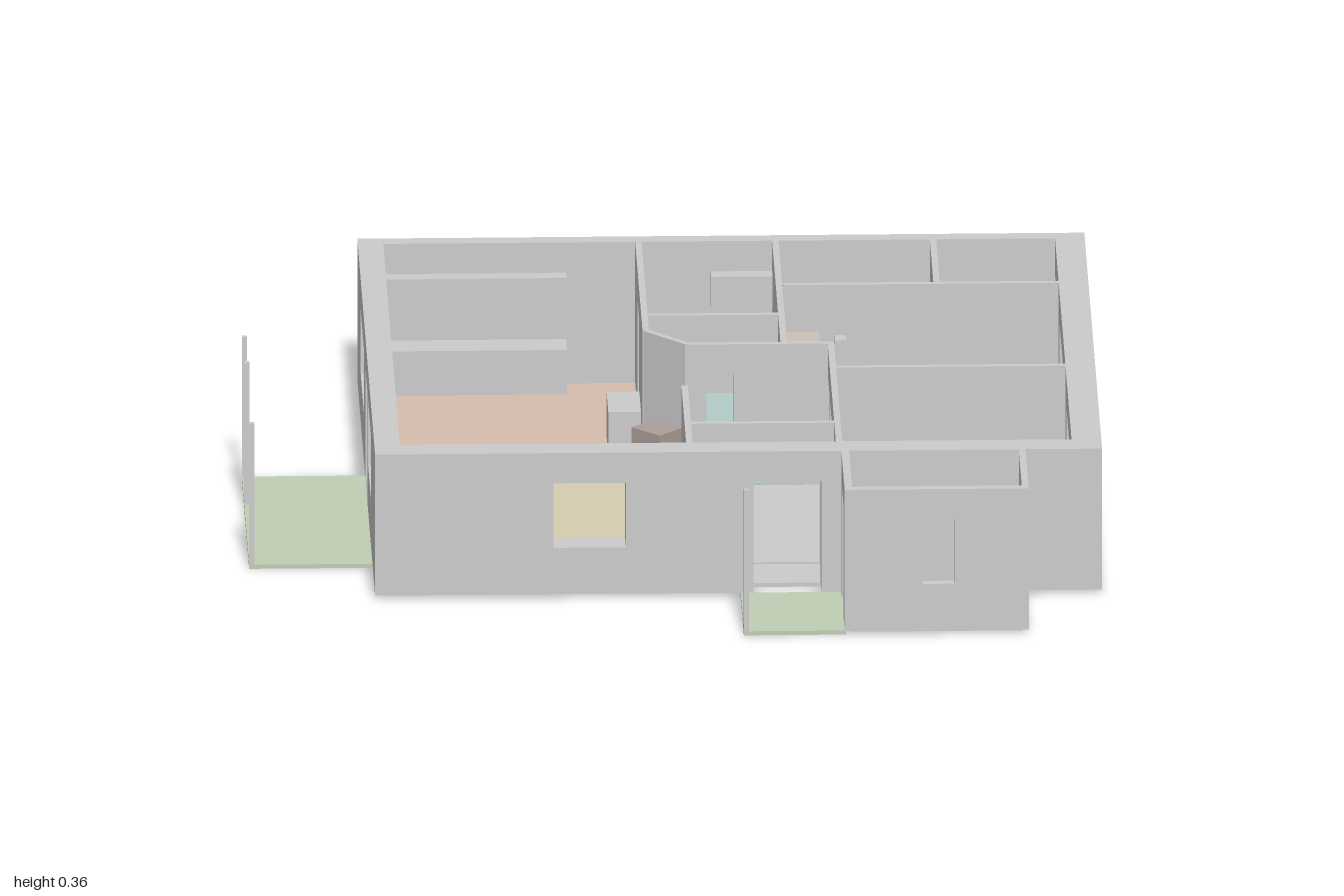
import * as THREE from 'three';

const BASE = 0.01, TOP = 0.36, SILL = 0.125, HEAD = 0.285;

export function createModel() {
  const model = new THREE.Group();
  model.name = 'house';

  const materials = {};
  const mat = (color) => (materials[color] ??= new THREE.MeshStandardMaterial({ color, flatShading: true }));
  const GREY = 0xcccccc, BROWN = 0xc3b096, WOOD = 0xccc2b7, TEAL = 0xb2cbc8, BLUE = 0xb8c5d0, GREEN = 0xbfceb4;

  const add = (name, geometry, color = GREY) => {
    const mesh = new THREE.Mesh(geometry, mat(color));
    mesh.name = name;
    model.add(mesh);
    return mesh;
  };

  // Box given by its limits in x, z and y
  const block = (name, x0, x1, z0, z1, y0, y1, color) => {
    const mesh = add(name, new THREE.BoxGeometry(x1 - x0, y1 - y0, z1 - z0), color);
    mesh.position.set((x0 + x1) / 2, (y0 + y1) / 2, (z0 + z1) / 2);
    return mesh;
  };

  // Slab or cabinet with a polygonal plan of [x, z] corners
  const slab = (name, corners, y0, y1, color) => {
    const shape = new THREE.Shape(corners.map(([x, z]) => new THREE.Vector2(x, -z)));
    const g = new THREE.ExtrudeGeometry(shape, { depth: y1 - y0, bevelEnabled: false });
    g.rotateX(-Math.PI / 2).translate(0, y0, 0);
    return add(name, g, color);
  };

  // Wall along a centre line; doors and windows are [from, to] in x or z
  const wall = (name, x0, z0, x1, z1, thick, doors = [], windows = []) => {
    const length = Math.hypot(x1 - x0, z1 - z0);
    const start = Math.abs(x1 - x0) > Math.abs(z1 - z0) ? x0 : z0;
    const shape = new THREE.Shape();
    shape.moveTo(0, BASE);
    for (const [a, b] of doors) {
      shape.lineTo(a - start, BASE);
      shape.lineTo(a - start, HEAD);
      shape.lineTo(b - start, HEAD);
      shape.lineTo(b - start, BASE);
    }
    shape.lineTo(length, BASE);
    shape.lineTo(length, TOP);
    shape.lineTo(0, TOP);
    for (const [a, b] of windows) {
      const hole = new THREE.Path();
      hole.moveTo(a - start, SILL);
      hole.lineTo(a - start, HEAD);
      hole.lineTo(b - start, HEAD);
      hole.lineTo(b - start, SILL);
      shape.holes.push(hole);
    }
    const g = new THREE.ExtrudeGeometry(shape, { depth: thick, bevelEnabled: false });
    g.translate(0, 0, -thick / 2).rotateY(-Math.atan2(z1 - z0, x1 - x0)).translate(x0, 0, z0);
    return add(name, g);
  };

  // Room floors
  const floor = (name, x0, x1, z0, z1, color) => block(name, x0, x1, z0, z1, 0, BASE, color);
  floor('kitchenFloor', -0.65, -0.055, -0.9, -0.36, 0xd6bcae);
  slab('livingFloor', [[-0.65, -0.36], [-0.055, -0.36], [-0.055, -0.25], [0.04, -0.14], [0.04, 0.16], [0.022, 0.16],
    [0.022, 0.58], [-0.65, 0.58]], 0, BASE, 0xd6ccb0);
  floor('utilityFloor', -0.043, 0.265, -0.9, -0.37, TEAL);
  slab('washroomFloor', [[-0.043, -0.355], [0.265, -0.355], [0.265, -0.155], [0.05, -0.155], [-0.043, -0.26]], 0, BASE, TEAL);
  floor('bathroomFloor', 0.28, 0.635, -0.895, -0.587, TEAL);
  floor('showerRoomFloor', 0.65, 0.925, -0.9, -0.585);
  slab('bedroomFloor', [[0.28, -0.57], [0.93, -0.57], [0.93, 0.022], [0.39, 0.022], [0.39, -0.16], [0.28, -0.16]], 0, BASE, BLUE);
  floor('secondBedroomFloor', 0.39, 0.93, 0.038, 0.58, BLUE);
  floor('hallFloor', 0.04, 0.375, -0.14, 0.428);
  floor('entryFloor', 0.04, 0.375, 0.442, 0.58);
  floor('storeFloor', 0.405, 0.805, 0.65, 0.915);
  floor('terrace', -1, -0.71, -0.235, 0.415, GREEN);
  floor('porch', 0.15, 0.39, 0.65, 0.935, GREEN);

  // Outer walls
  wall('backWall', -0.71, -0.92, 1, -0.92, 0.04);
  wall('frontWall', -0.71, 0.615, 1, 0.615, 0.07, [[0.18, 0.34]], [[-0.29, -0.12]]);
  wall('rightWall', -0.68, -0.9, -0.68, 0.58, 0.06, [[-0.2, -0.05]], [[-0.64, -0.35], [0.03, 0.3]]);
  wall('leftWall', 0.965, -0.9, 0.965, 0.58, 0.07, [], [[-0.87, -0.76], [-0.48, -0.21], [0.147, 0.42]]);

  // Store room beside the porch
  wall('storeFront', 0.387, 0.927, 0.82, 0.927, 0.022, [], [[0.57, 0.645]]);
  wall('storeRightWall', 0.396, 0.65, 0.396, 0.916, 0.018, [[0.7, 0.82]]);
  wall('storeLeftWall', 0.812, 0.65, 0.812, 0.916, 0.016);

  // Partitions
  const T = 0.015;
  const partitions = [
    [-0.05, -0.9, -0.05, -0.25, [[-0.7, -0.56]]],
    [-0.05, -0.25, 0.045, -0.148],
    [0.04, -0.148, 0.39, -0.148, [[0.09, 0.22]]],
    [-0.043, -0.363, 0.265, -0.363, [[0.04, 0.16]]],
    [0.272, -0.9, 0.272, -0.155],
    [0.28, -0.58, 0.93, -0.58, [[0.3, 0.43]]],
    [0.643, -0.9, 0.643, -0.587, [[-0.77, -0.65]]],
    [0.383, -0.14, 0.383, 0.58, [[-0.13, 0.01], [0.05, 0.2]]],
    [0.39, 0.03, 0.93, 0.03],
    [0.031, 0.16, 0.031, 0.58],
    [0.038, 0.435, 0.375, 0.435, [[0.18, 0.34]]],
  ];
  for (const [x0, z0, x1, z1, doors] of partitions) wall('partition', x0, z0, x1, z1, T, doors);

  // Slim posts of the terrace and porch
  for (const [x, z] of [[-0.994, -0.229], [-0.994, -0.04], [-0.994, 0.409], [0.156, 0.929]])
    block('post', x - 0.006, x + 0.006, z - 0.006, z + 0.006, BASE, TOP);

  // Kitchen and living room
  block('kitchenCounter', -0.65, -0.22, -0.9, -0.82, BASE, 0.12);
  block('kitchenWallCabinet', -0.65, -0.22, -0.9, -0.86, 0.2, 0.285);
  block('sideCounter', -0.135, -0.058, -0.51, -0.36, BASE, 0.12);
  const stove = block('stove', -0.07, 0.02, -0.195, -0.115, BASE, 0.15, 0xad9e97);
  stove.rotation.y = -Math.PI / 4;

  // Utility room and washroom
  block('utilityCounter', 0.05, 0.265, -0.9, -0.82, BASE, 0.12);
  block('utilityWallCabinet', 0.12, 0.265, -0.9, -0.86, 0.2, 0.285);
  block('utilityCupboard', 0.195, 0.265, -0.51, -0.37, BASE, 0.28, WOOD);
  block('washbasin', -0.035, 0.05, -0.33, -0.285, 0.1, 0.13);
  block('toiletSeat', 0.225, 0.25, -0.3, -0.235, BASE, 0.07);
  block('toiletTank', 0.245, 0.265, -0.32, -0.215, BASE, 0.14);

  // Bathroom and shower room
  block('bathroomToilet', 0.31, 0.35, -0.885, -0.81, BASE, 0.07);
  block('bathroomBasin', 0.41, 0.46, -0.885, -0.845, 0.09, 0.13);
  block('showerRoomBasin', 0.66, 0.7, -0.835, -0.785, 0.09, 0.13);
  slab('saunaBench', [[0.795, -0.81], [0.925, -0.81], [0.925, -0.587], [0.74, -0.587], [0.74, -0.685], [0.795, -0.685]],
    BASE, 0.1, BROWN);

  // Wardrobes
  block('bedroomWardrobe', 0.281, 0.363, -0.45, -0.165, BASE, 0.285, WOOD);
  block('secondBedroomWardrobe', 0.391, 0.47, 0.395, 0.58, BASE, 0.285, WOOD);
  block('hallWardrobe', 0.04, 0.11, 0.235, 0.428, BASE, 0.285, WOOD);

  return model;
}
